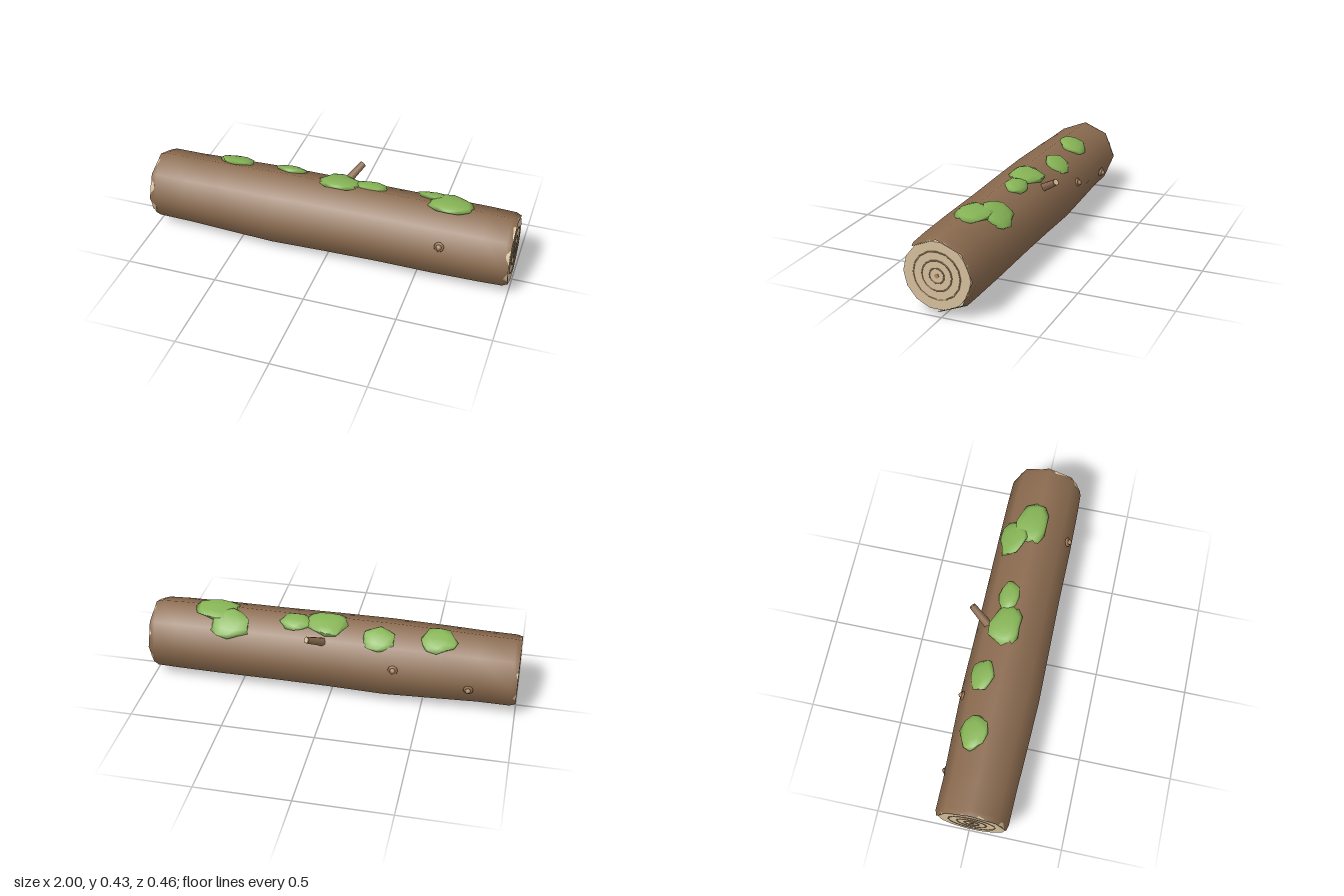
import * as THREE from 'three';
import { mergeVertices } from 'three/addons/utils/BufferGeometryUtils.js';

const CY = 0.216, CZ = 0.02; // log axis

const mat = (color) => new THREE.MeshStandardMaterial({ color });
const barkMat = mat(0x8b6b4f);
const woodMat = mat(0xd4be9a);
const ringMat = mat(0xa98562);
const mossMat = mat(0x86b456);
const knotMat = mat(0x8f6b4c);

function add(parent, name, geometry, material, x = 0, y = 0, z = 0) {
  const mesh = new THREE.Mesh(geometry, material);
  mesh.name = name;
  mesh.position.set(x, y, z);
  parent.add(mesh);
  return mesh;
}

// Merge a geometry's corners so that it shades smoothly
function weld(geometry) {
  geometry.deleteAttribute('uv');
  geometry.deleteAttribute('normal');
  const merged = mergeVertices(geometry, 1e-4);
  merged.computeVertexNormals();
  return merged;
}

// Eight-sided open bark tube; stations are [x, centre y, centre z, radius]
function barkGeometry() {
  const stations = [
    [1, 0.217, 0.018, 0.183], [0.97, 0.215, 0.016, 0.196], [0.85, 0.216, 0.017, 0.2],
    [0.6, 0.216, 0.018, 0.203], [0.3, 0.217, 0.017, 0.203], [0, 0.217, 0.018, 0.206],
    [-0.3, 0.214, 0.018, 0.21], [-0.6, 0.217, 0.018, 0.201], [-0.8, 0.218, 0.018, 0.194],
    [-0.97, 0.218, 0.016, 0.193], [-1, 0.219, 0.018, 0.183],
  ];
  const n = stations.length - 1;
  const g = new THREE.CylinderGeometry(1, 1, 2, 8, n, true).rotateZ(-Math.PI / 2);
  const p = g.attributes.position;
  for (let i = 0; i < p.count; i++) {
    const [x, cy, cz, r] = stations[Math.round((1 - p.getX(i)) * n / 2)];
    p.setXYZ(i, x, cy + p.getY(i) * r, cz + p.getZ(i) * r);
  }
  return weld(g);
}

// Cut face with growth rings, facing +x
function cutEnd(name) {
  const end = new THREE.Group();
  end.name = name;
  const disc = new THREE.CylinderGeometry(0.177, 0.177, 0.02, 14).rotateZ(-Math.PI / 2);
  add(end, 'cutFace', disc, woodMat, -0.012);
  for (const r of [0.039, 0.079, 0.124]) {
    const ring = new THREE.TorusGeometry(r, 0.004, 5, 16).rotateY(Math.PI / 2);
    add(end, 'growthRing', ring, ringMat, -0.003);
  }
  add(end, 'pith', new THREE.CylinderGeometry(0.012, 0.012, 0.006, 8).rotateZ(-Math.PI / 2), ringMat, -0.003);
  return end;
}

// Lumpy flattened cushion
function mossGeometry(rx, ry, rz, seed) {
  const g = weld(new THREE.IcosahedronGeometry(1, 1));
  const p = g.attributes.position;
  for (let i = 0; i < p.count; i++) {
    const k = 1 + 0.13 * Math.sin(i * 2.7 + seed * 1.9);
    p.setXYZ(i, p.getX(i) * rx * k, p.getY(i) * ry, p.getZ(i) * rz * k);
  }
  g.computeVertexNormals();
  return g;
}

export function createModel() {
  const log = new THREE.Group();
  log.name = 'log';
  add(log, 'bark', barkGeometry(), barkMat);

  // Cut ends
  for (const side of [1, -1]) {
    const end = cutEnd(side > 0 ? 'leftEnd' : 'rightEnd');
    end.position.set(side, CY, CZ);
    if (side < 0) end.rotation.y = Math.PI;
    log.add(end);
  }

  // Moss cushions: [x, z, half length, half width]
  const patches = [
    [-0.57, -0.06, 0.1, 0.075], [-0.26, -0.085, 0.09, 0.073], [0.03, -0.025, 0.11, 0.09],
    [0.2, -0.04, 0.09, 0.056], [0.55, -0.09, 0.11, 0.085], [0.64, -0.005, 0.115, 0.09],
  ];
  patches.forEach(([x, z, rx, rz], i) => {
    const a = Math.asin((z - CZ) / 0.198);
    const moss = add(log, 'mossPatch', mossGeometry(rx, 0.024, rz, i), mossMat,
      x, CY + Math.cos(a) * 0.195, z);
    moss.rotation.x = a;
  });

  // Knots: [x, y, z, outward z direction]
  for (const [x, y, z, dir] of [[0.635, 0.281, 0.2, 1], [-0.35, 0.255, -0.174, -1], [-0.75, 0.187, -0.173, -1]]) {
    const knot = new THREE.Group();
    knot.name = 'knot';
    add(knot, 'knotRing', new THREE.TorusGeometry(0.018, 0.009, 6, 10), knotMat);
    add(knot, 'knotCentre', new THREE.SphereGeometry(0.015, 8, 6), ringMat, 0, 0, 0.008);
    knot.position.set(x, y, z);
    knot.rotation.set(dir * Math.atan2(CY - y, Math.abs(z - CZ)), dir > 0 ? 0 : Math.PI, 0);
    log.add(knot);
  }

  // Broken branch stub
  const from = new THREE.Vector3(0.015, 0.325, -0.085);
  const to = new THREE.Vector3(0.1, 0.414, -0.219);
  const axis = to.clone().sub(from);
  const branch = new THREE.Group();
  branch.name = 'branchStub';
  const length = axis.length();
  add(branch, 'branchBark', new THREE.CylinderGeometry(0.018, 0.025, length, 8), barkMat, 0, length / 2);
  add(branch, 'branchCut', new THREE.CylinderGeometry(0.014, 0.014, 0.004, 8), woodMat, 0, length);
  branch.position.copy(from);
  branch.quaternion.setFromUnitVectors(new THREE.Vector3(0, 1, 0), axis.normalize());
  log.add(branch);

  return log;
}
